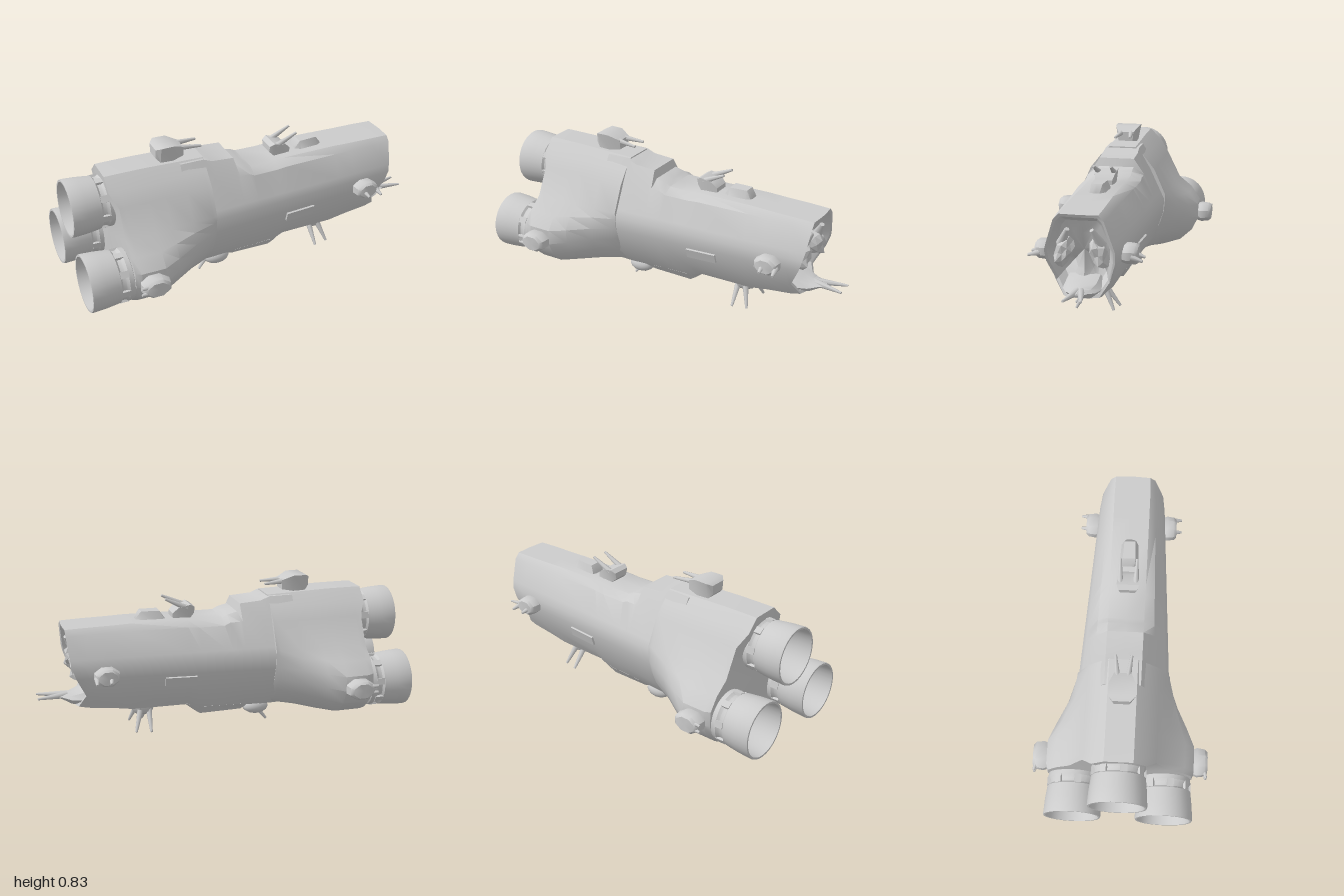
import * as THREE from 'three';
import { toCreasedNormals, mergeGeometries } from 'three/addons/utils/BufferGeometryUtils.js';

const mat = new THREE.MeshStandardMaterial({ color: 0xcccccc });
const matDouble = new THREE.MeshStandardMaterial({ color: 0xcccccc, side: THREE.DoubleSide });
const V = (x, y, z) => new THREE.Vector3(x, y, z);
const mix = THREE.MathUtils.lerp;

function add(parent, name, geo, m = mat) {
  const mesh = new THREE.Mesh(geo, m);
  mesh.name = name;
  parent.add(mesh);
  return mesh;
}

// Skin mirrored half sections; each section is a list of [x, y, z] from top centre to bottom centre
function loft(sections, crease = 0.5) {
  const rings = sections.map(s => [...s, ...s.slice(1, -1).reverse().map(([x, y, z]) => [x, y, -z])]);
  const n = rings[0].length, pos = rings.flat(2), idx = [];
  for (let i = 0; i < rings.length - 1; i++) {
    for (let j = 0; j < n; j++) {
      const k = (j + 1) % n, a = i * n + j, b = i * n + k;
      idx.push(a, b, b + n, a, b + n, a + n);
    }
  }
  // end caps
  [0, rings.length - 1].forEach((r, end) => {
    const c = pos.length / 3;
    pos.push(...[0, 1, 2].map(q => rings[r].reduce((s, p) => s + p[q], 0) / n));
    for (let j = 0; j < n; j++) {
      const a = r * n + j, b = r * n + (j + 1) % n;
      idx.push(...(end ? [c, a, b] : [c, b, a]));
    }
  });
  const g = new THREE.BufferGeometry();
  g.setAttribute('position', new THREE.Float32BufferAttribute(pos, 3));
  g.setIndex(idx);
  return toCreasedNormals(g, crease);
}

// Sloped block; each row is x, top, bottom, half width at top, half width at bottom
const block = (rows, crease) => loft(rows.map(([x, top, low, wTop, wLow]) =>
  [[x, top, 0], [x, top, wTop], [x, low, wLow], [x, low, 0]]), crease);

// Tapered rod between two points
function rod(a, b, r0, r1) {
  const d = b.clone().sub(a), g = new THREE.CylinderGeometry(r1, r0, d.length(), 7);
  g.applyQuaternion(new THREE.Quaternion().setFromUnitVectors(V(0, 1, 0), d.normalize()));
  return g.translate(...a.clone().add(b).multiplyScalar(0.5).toArray());
}

// Faceted round gun housing along a local axis
function roundHousing(at, axis, size, flare) {
  const profile = [[0, -0.5], [0.4, -0.5], [0.5, -0.1], [0.46 * flare, 0.35], [0.36 * flare, 0.5], [0, 0.5]];
  const body = new THREE.LatheGeometry(profile.map(p => new THREE.Vector2(...p)), 8);
  body.rotateY(Math.PI / 8).scale(...size);
  body.applyQuaternion(new THREE.Quaternion().setFromUnitVectors(V(0, 1, 0), axis));
  return toCreasedNormals(body.translate(...at.toArray()), 0.8);
}

// Gun: housing plus barrels given as point pairs
function gun(parent, name, housing, barrels) {
  const group = new THREE.Group();
  group.name = name;
  add(group, 'gunHousing', housing);
  add(group, 'gunBarrels', mergeGeometries(barrels.map(([a, b]) => rod(a, b, 0.017, 0.007))));
  parent.add(group);
}

function frontHull() {
  const back = [[.73, 0], [.73, .095], [.63, .16], [.49, .226], [.45, .246], [.37, .24], [.22, .19], [.135, .12], [.135, 0]];
  const nose = [[.64, 0], [.64, .1], [.61, .128], [.49, .168], [.45, .18], [.39, .175], [.28, .137], [.21, .09], [.21, 0]];
  // x, deck height, keel height
  const stations = [[-.4, .74, .14], [-.27, .74, .135], [-.22, .72, .135], [-.1, .712, .14], [-.085, .668, .14], [-.03, .655, .14],
    [.0, .64, .14], [.14, .64, .145], [.2, .645, .17], [.5, .648, .17], [.6, .645, .185], [.74, .643, .2]];
  const section = (x, top, keel) => {
    const t = (x + .3) / 1.14;
    return back.map(([y, z], j) => {
      const n = nose[j];
      let yy = mix(y, n[0], t);
      if (j < 2) yy = top;
      if (j === 2) yy = Math.min(yy, top - .03);
      if (j > 6) yy = keel;
      return [x, yy, mix(z, n[1], t)];
    });
  };
  const sections = stations.map(s => section(...s));
  // ragged lip, then the throat turning back inside
  const lipX = [.855, .85, .85, .838, .83, .81, .755, .79, .82];
  const lip = nose.map(([y, z], j) => [lipX[j], y, z * .97]);
  const inset = (k, dx) => lip.map(([x, y, z]) => [x - dx, .43 + (y - .43) * k, z * k]);
  sections.push(lip, inset(.93, .006), inset(.78, .07), inset(.45, .1));
  return loft(sections, 0.6);
}

function rearHull() {
  const wide = [[.755, 0], [.755, .075], [.69, .14], [.62, .19], [.47, .265], [.41, .345], [.34, .396], [.26, .402], [.18, .365], [.115, .295], [.082, .2], [.125, .125], [.14, 0]];
  const slim = [[.745, 0], [.745, .075], [.69, .13], [.62, .185], [.475, .25], [.44, .252], [.38, .25], [.31, .23], [.24, .2], [.17, .155], [.15, .13], [.13, .09], [.13, 0]];
  // x of the upper and lower parts, blend from wide to slim
  const stations = [[-.807, -.772, .08], [-.76, -.74, 0], [-.61, -.61, 0], [-.52, -.52, .27], [-.4, -.4, .68], [-.285, -.285, .97], [-.264, -.262, 1.05]];
  return loft(stations.map(([xu, xl, t]) => wide.map(([y, z], j) =>
    [j < 3 ? xu : xl, mix(y, slim[j][0], t), mix(z, slim[j][1], t)])), 0.55);
}

function engine(parent, name, y, z) {
  const group = new THREE.Group();
  group.name = name;
  group.position.set(0, y, z);
  // radius, distance forward of the rim; outside, then inside
  const pts = [[.11, .34], [.125, .235], [.138, .225], [.14, .2], [.13, .185], [.13, .165], [.141, .155], [.143, .14], [.15, .08], [.154, .01], [.152, 0],
    [.142, 0], [.137, .08], [.12, .15], [.07, .19], [0, .2]];
  const bell = new THREE.LatheGeometry(pts.map(p => new THREE.Vector2(...p)), 32).rotateZ(-Math.PI / 2).translate(-1, 0, 0);
  add(group, 'engineBell', toCreasedNormals(bell, 0.6), matDouble);
  // clamps around the collar
  const clamps = [];
  for (let i = 0; i < 8; i++) {
    clamps.push(new THREE.BoxGeometry(.045, .016, .035).translate(-.82, .134, 0).rotateX(i * Math.PI / 4 + .2));
  }
  add(group, 'engineClamps', mergeGeometries(clamps));
  parent.add(group);
}

export function createModel() {
  const ship = new THREE.Group();
  ship.name = 'spaceship';
  add(ship, 'frontHull', frontHull());
  add(ship, 'rearHull', rearHull());

  engine(ship, 'upperEngine', .575, 0);
  engine(ship, 'leftEngine', .264, .245);
  engine(ship, 'rightEngine', .264, -.245);

  // rounded deck hatch, and keel fairing flush with the belly
  add(ship, 'deckHatch', block([[.3, .645, .635, .03, .05], [.33, .688, .635, .035, .055], [.43, .69, .635, .03, .05], [.46, .65, .635, .02, .035]], 0.8));
  add(ship, 'keelFairing', block([[-.17, .145, .136, .12, .09], [-.11, .145, .105, .12, .085], [.12, .15, .1, .115, .08],
    [.15, .16, .12, .115, .085], [.21, .175, .168, .11, .09]], 0.6));

  // deck guns
  gun(ship, 'rearDeckGun', block([[-.513, .825, .775, .045, .04], [-.49, .838, .75, .07, .052], [-.42, .838, .75, .068, .055], [-.36, .812, .76, .045, .04]], 0.7),
    [-1, 1].map(s => [V(-.4, .805, s * .025), V(-.26, .797, s * .042)]));
  gun(ship, 'frontDeckGun', block([[.14, .7, .665, .05, .04], [.165, .715, .64, .06, .05], [.23, .7, .64, .055, .05], [.26, .67, .64, .045, .045]], 0.7),
    [-1, 1].map(s => [V(.18, .695, s * .042), V(.3, .752, s * .045)]));

  for (const s of [1, -1]) {
    const side = s > 0 ? 'left' : 'right', out = V(0, 0, s);
    gun(ship, side + 'BowGun', roundHousing(V(.655, .405, s * .213), out, [.145, .09, .105], 1),
      [.645, .72].map(x => [V(x - .01, .4, s * .23), V(x, .385, s * .288)]));
    gun(ship, side + 'PodGun', roundHousing(V(-.68, .277, s * .425), out, [.165, .095, .115], 1),
      [.255, .29].map(y => [V(-.68, y, s * .445), V(-.768, y + .01, s * .465)]));

    // raised flank panel
    const panel = add(ship, side + 'FlankPanel', new THREE.BoxGeometry(.17, .055, .02));
    panel.position.set(.255, .338, s * .196);
    panel.rotation.set(s * .3, s * .06, 0);

    // broken machinery inside the mouth
    const lump = new THREE.IcosahedronGeometry(1, 1);
    const p = lump.attributes.position;
    for (let i = 0; i < p.count; i++) {
      const k = 1 + .22 * Math.sin(p.getX(i) * 5 + p.getY(i) * 7 + p.getZ(i) * 3);
      p.setXYZ(i, p.getX(i) * k, p.getY(i) * k, p.getZ(i) * k);
    }
    lump.computeVertexNormals();
    const machine = add(ship, side + 'MouthMachinery', lump);
    machine.scale.set(.06, .075, .042);
    machine.position.set(.775, .43, s * .09);
    machine.rotation.x = s * -.35;
    add(ship, side + 'MouthStrut', rod(V(.78, .47, s * .1), V(.825, .56, s * .06), .028, .012));
  }

  // belly gun with four splayed barrels
  gun(ship, 'bellyGun', roundHousing(V(.43, .152, 0), V(0, -1, 0), [.14, .075, .15], .9),
    [1, -1].flatMap(s => [[.4, .405, .04, .12], [.45, .485, .05, .1]].map(([x0, x1, z0, z1]) =>
      [V(x0, .14, s * z0), V(x1, .035, s * z1)])));

  // crosswise belly pod with twin tail barrels
  const pod = new THREE.CapsuleGeometry(.042, .17, 5, 12).rotateX(Math.PI / 2).scale(1.7, 1, 1).translate(-.2, .113, 0);
  gun(ship, 'bellyPodGun', pod, [-1, 1].map(s => [V(-.22, .09, s * .012), V(-.283, .009, s * .022)]));

  // lower jaw with bow prongs
  add(ship, 'lowerJaw', loft([[.7, .31, .2, .11], [.77, .285, .207, .1], [.82, .27, .215, .075], [.87, .268, .24, .045], [.9, .262, .25, .03]]
    .map(([x, t, b, w]) => [[x, t, 0], [x, t - .01, w * .7], [x, (t + b) / 2, w], [x, b, w * .6], [x, b, 0]])));
  add(ship, 'bowProngs', mergeGeometries([-1, 1].map(s =>
    rod(V(.84, .255, s * .008), V(.998, .257, s * .044), .02, .006))));
  return ship;
}
